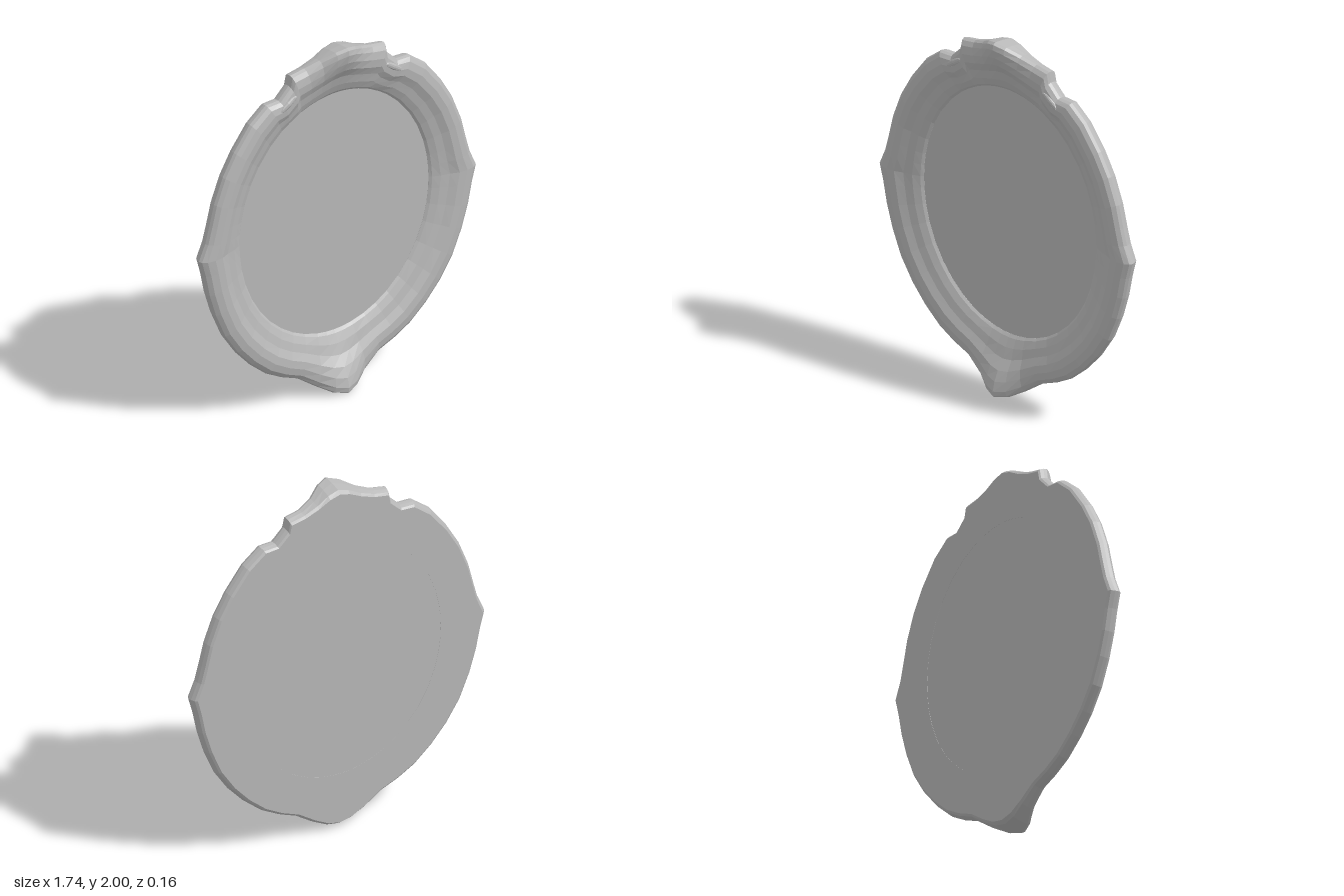
import * as THREE from 'three';

const CY = 1.005, RX = 0.595, RY = 0.685; // centre and radii of the oval opening

// Right half of the frame outline, from the top crest to the bottom point
const HALF = [
  [0, 2], [0.06, 1.983], [0.13, 1.945], [0.21, 1.915], [0.295, 1.9], [0.305, 1.845], [0.37, 1.78],
  [0.45, 1.778], [0.55, 1.7], [0.65, 1.57], [0.72, 1.45], [0.775, 1.31], [0.805, 1.19], [0.83, 1.1],
  [0.87, 1.01], [0.845, 0.92], [0.82, 0.8], [0.78, 0.67], [0.72, 0.53], [0.64, 0.41], [0.55, 0.31],
  [0.45, 0.225], [0.35, 0.17], [0.25, 0.13], [0.15, 0.06], [0.07, 0.015], [0, 0],
];

// Cross-section: fraction from opening to outline, depth, and share of the forward curl
const SECTION = [
  [0, -0.075, 0], [0, -0.05, 0], [0.05, -0.038, 0], [0.2, -0.02, 0.05], [0.38, -0.008, 0.15],
  [0.55, 0.012, 0.35], [0.72, 0.016, 0.6], [0.88, 0.008, 0.85], [0.97, -0.008, 1],
  [1, -0.025, 1], [0.985, -0.045, 0.6], [0.95, -0.066, 0.15], [0.9, -0.075, 0],
];

function frameGeometry() {
  const mirrored = HALF.slice(1, -1).reverse().map(([x, y]) => [-x, y]);
  const outline = [...HALF, ...mirrored];
  const n = outline.length, m = SECTION.length;
  const positions = [], index = [];
  outline.forEach(([x, y]) => {
    const dy = y - CY;
    const k = 1 / Math.hypot(x / RX, dy / RY);
    const ix = x * k, iy = CY + dy * k;
    // the crest and the bottom point curl forward
    const curl = Math.abs(dy) > 0.7 ? 0.085 * Math.exp(-((x / 0.12) ** 2)) : 0;
    for (const [t, z, share] of SECTION) {
      positions.push(ix + (x - ix) * t, iy + (y - iy) * t, z + curl * share);
    }
  });
  for (let i = 0; i < n; i++) {
    for (let j = 0; j < m; j++) {
      const i2 = (i + 1) % n, j2 = (j + 1) % m;
      const a = i * m + j, b = i2 * m + j, c = i2 * m + j2, d = i * m + j2;
      index.push(a, b, c, a, c, d);
    }
  }
  const g = new THREE.BufferGeometry();
  g.setAttribute('position', new THREE.Float32BufferAttribute(positions, 3));
  g.setIndex(index);
  g.computeVertexNormals();
  return g;
}

export function createModel() {
  const model = new THREE.Group();
  const grey = new THREE.MeshStandardMaterial({ color: 0xb8b8b8, flatShading: true });
  grey.name = 'plain grey';

  // Carved oval frame
  const frame = new THREE.Mesh(frameGeometry(), grey);
  frame.name = 'frame';
  model.add(frame);

  // Flat oval mirror plate, flush with the back
  const plate = new THREE.CylinderGeometry(1, 1, 0.023, 52);
  plate.rotateX(Math.PI / 2);
  plate.scale(RX + 0.003, RY + 0.003, 1);
  const mirror = new THREE.Mesh(plate, grey);
  mirror.name = 'mirrorPlate';
  mirror.position.set(0, CY, -0.0625);
  model.add(mirror);

  // Small carved leaves below the notches of the crest
  for (const side of [-1, 1]) {
    const leaf = new THREE.Mesh(new THREE.SphereGeometry(1, 8, 6), grey);
    leaf.name = side > 0 ? 'leftLeaf' : 'rightLeaf';
    leaf.scale.set(0.075, 0.018, 0.014);
    leaf.rotation.z = -side * 0.6;
    leaf.position.set(side * 0.33, 1.76, 0.008);
    model.add(leaf);
  }
  return model;
}
